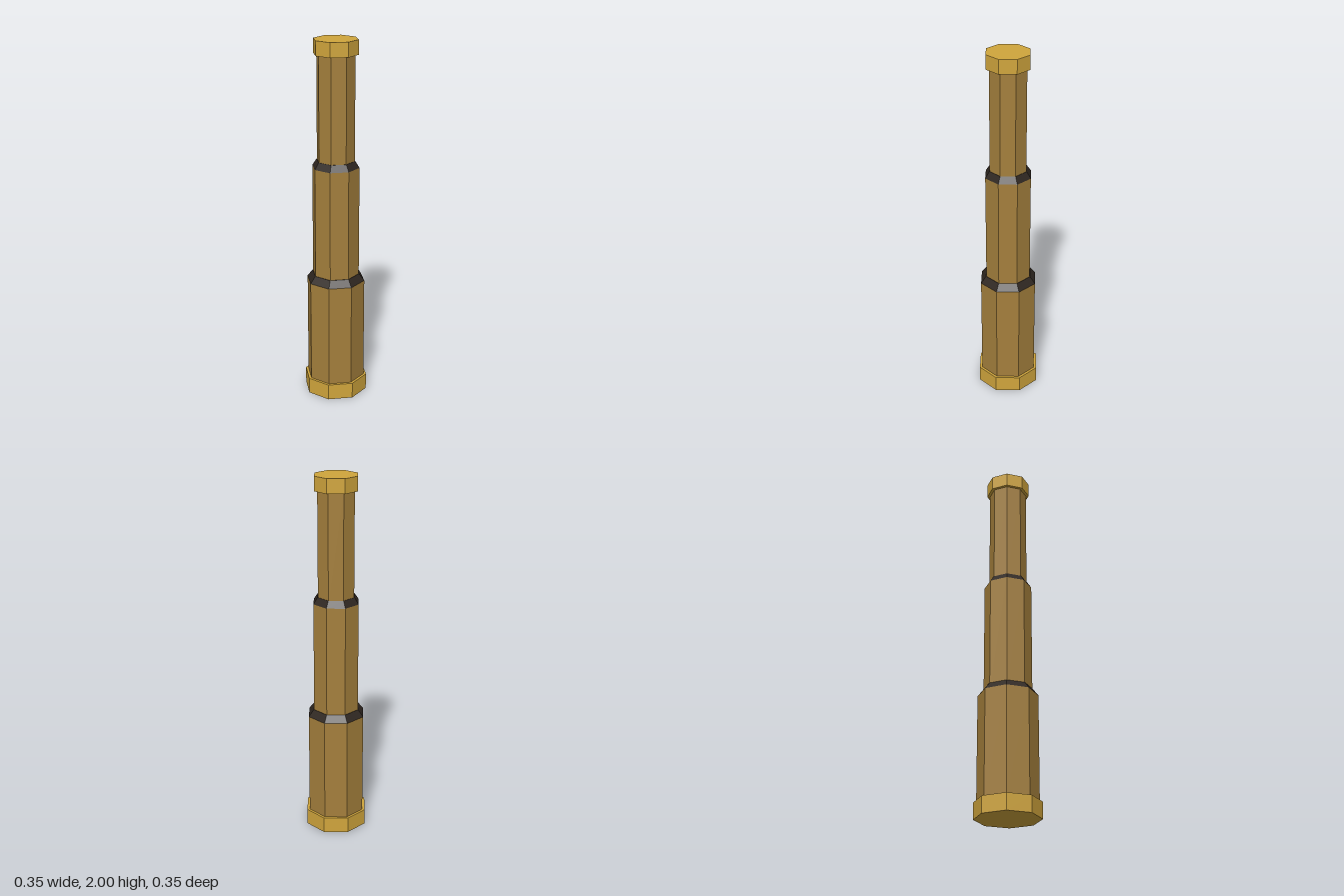
import * as THREE from 'three';

export function createModel() {
  const model = new THREE.Group();
  model.name = 'spyglass';

  const material = (name, color) => {
    const m = new THREE.MeshStandardMaterial({ color, flatShading: true });
    m.name = name;
    return m;
  };
  const brass = material('polished brass', 0xd0a53c);
  const bronze = material('aged bronze', 0xa47f3c);
  const dark = material('dark collar', 0x2e2620);

  // Eight-sided section between two heights, with corners on the x and z axes
  const section = (name, mat, y0, y1, r0, r1 = r0) => {
    const mesh = new THREE.Mesh(new THREE.CylinderGeometry(r1, r0, y1 - y0, 8), mat);
    mesh.name = name;
    mesh.position.y = (y0 + y1) / 2;
    model.add(mesh);
  };

  // Wide objective end
  section('objectiveCap', brass, 0, 0.09, 0.177);

  // Telescoping tubes, each overlapping inside the one below
  section('lowerTube', bronze, 0.08, 0.67, 0.162);
  section('middleTube', bronze, 0.66, 1.318, 0.13);
  section('upperTube', bronze, 1.31, 1.93, 0.104);

  // Tapered collars at the joints
  section('lowerCollar', dark, 0.67, 0.708, 0.162, 0.132);
  section('upperCollar', dark, 1.318, 1.354, 0.13, 0.106);

  // Eyepiece
  section('eyepieceCap', brass, 1.922, 2, 0.121);

  return model;
}
